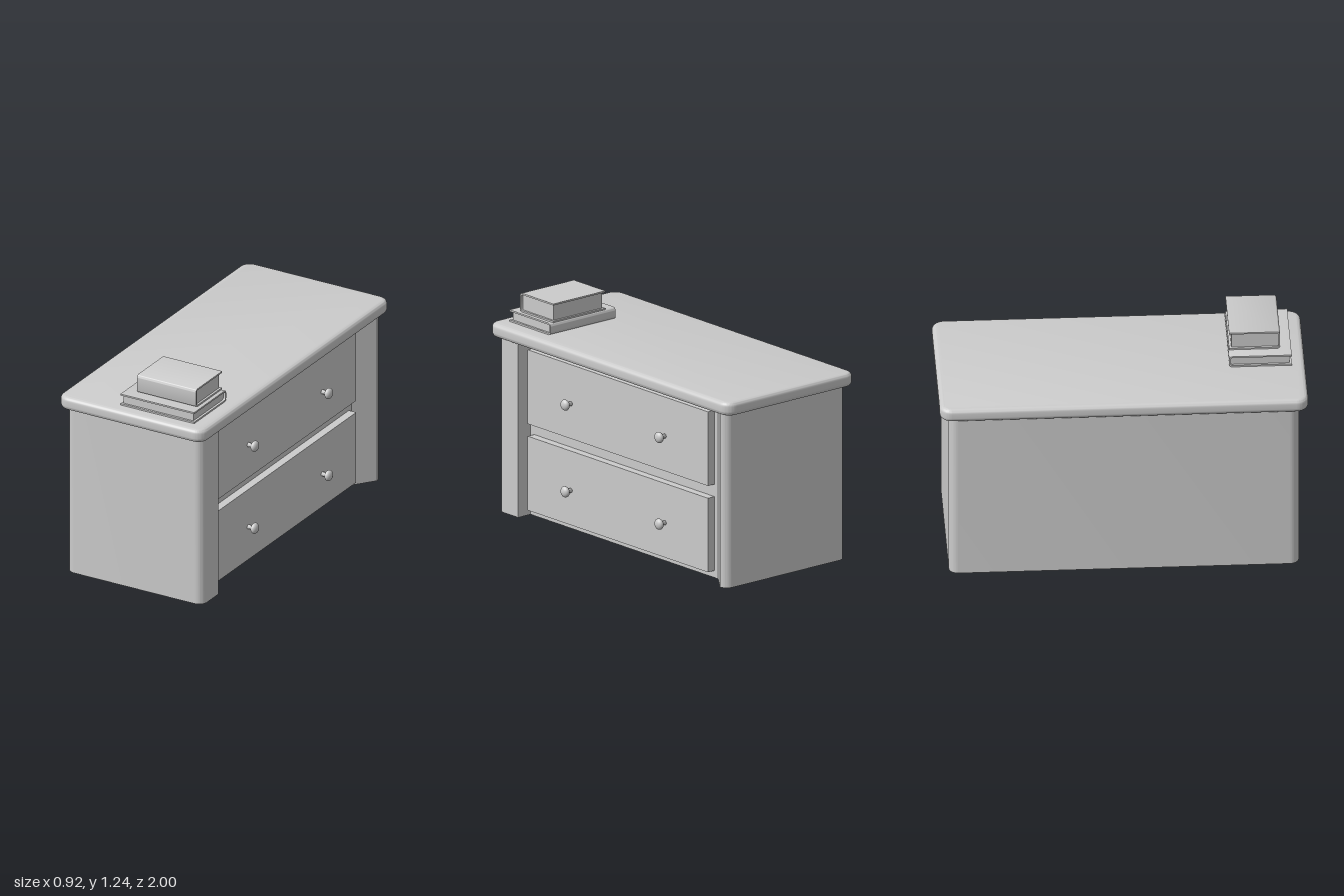
import * as THREE from 'three';
import { toCreasedNormals } from 'three/addons/utils/BufferGeometryUtils.js';

const material = new THREE.MeshStandardMaterial({ color: 0xcccccc });

function part(name, geometry, parent) {
  const mesh = new THREE.Mesh(geometry, material);
  mesh.name = name;
  parent.add(mesh);
  return mesh;
}

// Rounded rectangle centred on the origin
function roundedRect(halfX, halfY, r) {
  const s = new THREE.Shape();
  s.absarc(halfX - r, halfY - r, r, 0, Math.PI / 2);
  s.absarc(-halfX + r, halfY - r, r, Math.PI / 2, Math.PI);
  s.absarc(-halfX + r, -halfY + r, r, Math.PI, Math.PI * 1.5);
  s.absarc(halfX - r, -halfY + r, r, Math.PI * 1.5, Math.PI * 2);
  s.closePath();
  return s;
}

// Cabinet plan: rounded corners, with a notch on +x for the drawers
function cabinetGeometry() {
  const X = 0.43, Z = 0.95, r = 0.05, notchX = 0.34, notchZ = 0.78;
  const s = new THREE.Shape();
  s.moveTo(X, notchZ);
  s.absarc(X - r, Z - r, r, 0, Math.PI / 2);
  s.absarc(-X + r, Z - r, r, Math.PI / 2, Math.PI);
  s.absarc(-X + r, -Z + r, r, Math.PI, Math.PI * 1.5);
  s.absarc(X - r, -Z + r, r, Math.PI * 1.5, Math.PI * 2);
  s.lineTo(X, -notchZ);
  s.lineTo(notchX, -notchZ);
  s.lineTo(notchX, notchZ);
  s.closePath();
  const g = new THREE.ExtrudeGeometry(s, { depth: 1.0, bevelEnabled: false, curveSegments: 8 });
  g.rotateX(-Math.PI / 2);
  return toCreasedNormals(g, 0.6);
}

// Table top with softly rounded edges
function topGeometry() {
  const b = 0.025, height = 0.077;
  const g = new THREE.ExtrudeGeometry(roundedRect(0.46 - b, 1 - b, 0.04), {
    depth: height - 2 * b, bevelEnabled: true, bevelSize: b, bevelThickness: b,
    bevelSegments: 6, curveSegments: 8,
  });
  g.rotateX(-Math.PI / 2);
  g.translate(0, 0.988 + b, 0);
  return toCreasedNormals(g, 0.6);
}

// Book: C-shaped cover with a rounded spine, wrapped around a page block.
// spineDir is +1 when the spine faces +z, -1 when it faces -z.
function book(name, { x, z, y, length, width, height, spineDir }) {
  const group = new THREE.Group();
  group.name = name;
  const t = 0.009, r = 0.018, q = r - t, inset = 0.013;
  const s = new THREE.Shape();
  s.moveTo(width, 0);
  s.lineTo(width, t);
  s.lineTo(r, t);
  s.absarc(r, r, q, Math.PI * 1.5, Math.PI, true);
  s.absarc(r, height - r, q, Math.PI, Math.PI / 2, true);
  s.lineTo(width, height - t);
  s.lineTo(width, height);
  s.absarc(r, height - r, r, Math.PI / 2, Math.PI);
  s.absarc(r, r, r, Math.PI, Math.PI * 1.5);
  s.closePath();
  const cover = new THREE.ExtrudeGeometry(s, { depth: length, bevelEnabled: false, curveSegments: 6 });
  cover.translate(-width / 2, 0, -length / 2);
  part('cover', toCreasedNormals(cover, 0.6), group);

  const pages = new THREE.BoxGeometry(width - t - inset, height - 2 * t, length - 2 * inset);
  pages.translate((t - inset) / 2, height / 2, 0);
  part('pages', pages, group);

  group.rotation.y = spineDir * Math.PI / 2;
  group.position.set(x, y, z);
  return group;
}

// Knob: narrow stem and a flattened round head, pointing along +x
function knobGeometry() {
  const points = [[0, 0], [0.013, 0], [0.011, 0.02]].map(p => new THREE.Vector2(...p));
  for (let i = 1; i <= 10; i++) {
    const a = -Math.PI / 3 + (i / 10) * (Math.PI * 5 / 6);
    points.push(new THREE.Vector2(Math.max(0, 0.031 * Math.cos(a)), 0.041 + 0.02 * Math.sin(a)));
  }
  const g = new THREE.LatheGeometry(points, 24);
  g.rotateZ(-Math.PI / 2);
  return g;
}

export function createModel() {
  const model = new THREE.Group();
  model.name = 'dresser';

  part('cabinet', cabinetGeometry(), model);
  part('tableTop', topGeometry(), model);

  // Two drawers, each with a pair of knobs
  const frontX = 0.387, backX = 0.3;
  const knob = knobGeometry();
  for (const [name, yMid, knobY] of [['lowerDrawer', 0.25, 0.237], ['upperDrawer', 0.74, 0.729]]) {
    const drawer = new THREE.Group();
    drawer.name = name;
    const front = part('drawerFront', new THREE.BoxGeometry(frontX - backX, 0.42, 1.5), drawer);
    front.position.set((frontX + backX) / 2, yMid, 0);
    for (const side of [-1, 1]) {
      part('knob', knob, drawer).position.set(frontX, knobY, side * 0.391);
    }
    model.add(drawer);
  }

  // Stacked books
  model.add(book('lowerBook', {
    x: 0.132, z: 0.757, y: 1.065, length: 0.465, width: 0.34, height: 0.066, spineDir: -1,
  }));
  model.add(book('upperBook', {
    x: 0.155, z: 0.729, y: 1.131, length: 0.372, width: 0.277, height: 0.107, spineDir: 1,
  }));

  return model;
}
